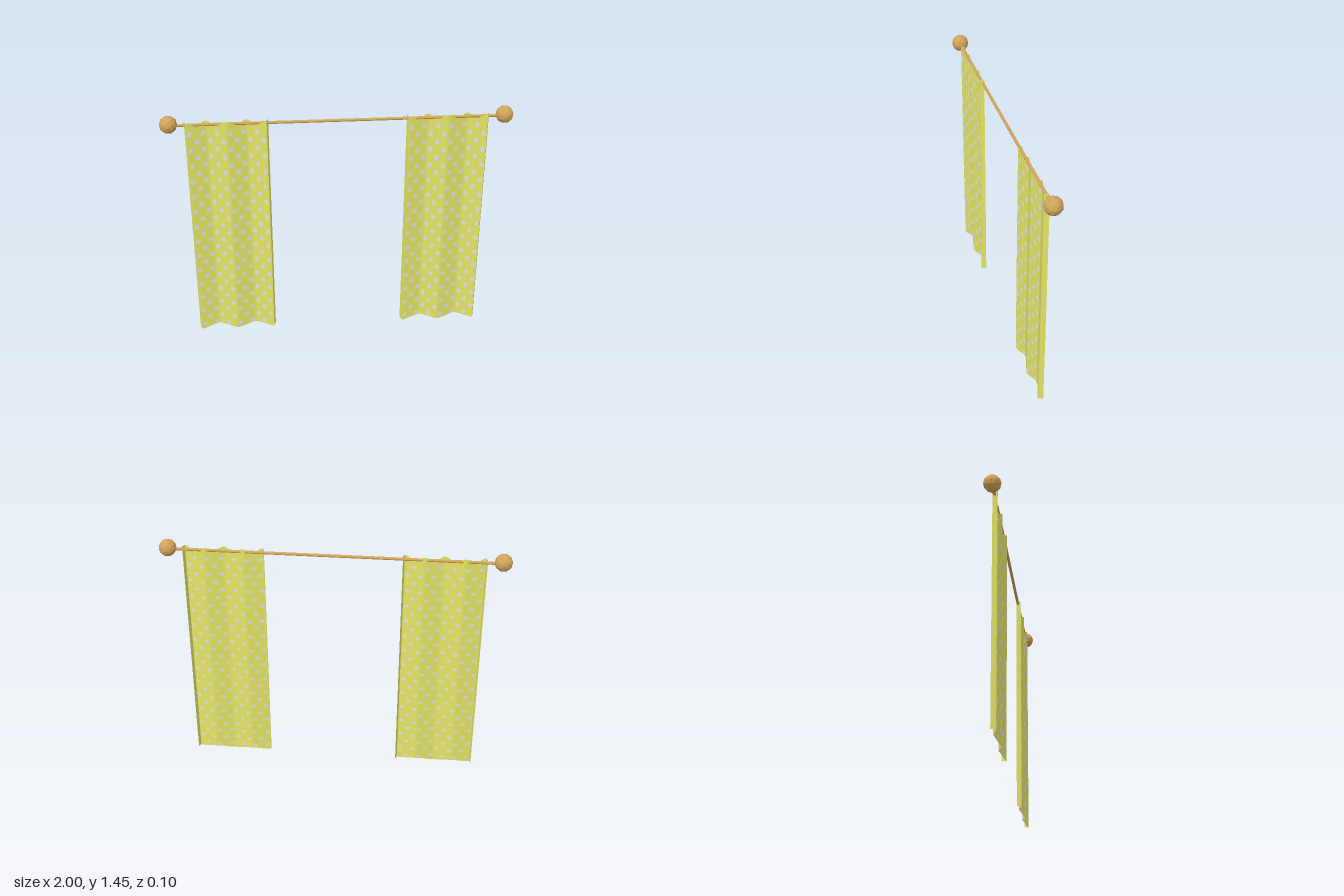
import * as THREE from 'three';
import { mergeGeometries } from 'three/addons/utils/BufferGeometryUtils.js';

const HALF = 0.226;      // half width of the pleated sheet
const RETURN = 0.235;    // half width including the turned-back edges
const COLUMNS = 12;      // dot columns per panel
const STEP = (HALF * 2) / COLUMNS;

// pleat depth and the wavy hems, u running -HALF..HALF
const phase = u => (u / HALF) * Math.PI * 2;
const pleat = u => 0.004 + 0.0122 *
  (Math.cos(phase(u)) + Math.cos(3 * phase(u)) / 9 + Math.cos(5 * phase(u)) / 25);
const topHem = u => 1.4 + 0.012 * Math.cos(2 * phase(u));
const bottomHem = u => 0.014 - 0.01 * Math.cos(phase(u));

function sheetGeometry() {
  const geo = new THREE.PlaneGeometry(HALF * 2, 1, 64, 1);
  const p = geo.attributes.position;
  for (let i = 0; i < p.count; i++) {
    const u = p.getX(i);
    p.setXYZ(i, u, p.getY(i) > 0 ? topHem(u) : bottomHem(u), pleat(u));
  }
  geo.computeVertexNormals();
  return geo;
}

// narrow edge folded back towards the wall
function returnGeometry(side) {
  const geo = new THREE.PlaneGeometry(1, 1);
  const p = geo.attributes.position;
  for (let i = 0; i < p.count; i++) {
    const outer = p.getX(i) * side > 0;
    p.setXYZ(i, side * (outer ? RETURN : HALF), p.getY(i) > 0 ? 1.412 : 0.01,
      outer ? -0.01 : pleat(HALF));
  }
  geo.computeVertexNormals();
  return geo;
}

// staggered dots lying on the pleats, on one face of the cloth
function dotsGeometry(face, height) {
  const dots = [];
  for (let col = 0; col < COLUMNS; col++) {
    const cx = (col + 0.5) * STEP - HALF;
    for (let row = 0; row < 14; row++) {
      const cy = 0.04 + row * 0.1 + (col % 2) * 0.05;
      if (cy > 1.37) continue;
      const dot = new THREE.RingGeometry(0, 1, 10, 3);
      const p = dot.attributes.position;
      for (let i = 0; i < p.count; i++) {
        const u = cx + p.getX(i) * 0.013;
        p.setXYZ(i, u, cy + p.getY(i) * height, pleat(u) + face * 0.001);
      }
      dot.computeVertexNormals();
      dots.push(dot);
    }
  }
  return mergeGeometries(dots);
}

export function createModel() {
  const cloth = new THREE.MeshStandardMaterial({ color: 0xe4e466, side: THREE.DoubleSide });
  cloth.name = 'yellow cloth';
  const dotGrey = new THREE.MeshStandardMaterial({ color: 0xe2e2e0, side: THREE.DoubleSide });
  dotGrey.name = 'pale grey dots';
  const wood = new THREE.MeshStandardMaterial({ color: 0xd0a45a, flatShading: true });
  wood.name = 'golden wood';

  const model = new THREE.Group();
  model.name = 'curtains';
  const add = (parent, name, geo, mat) => {
    const mesh = new THREE.Mesh(geo, mat);
    mesh.name = name;
    parent.add(mesh);
    return mesh;
  };

  // rod
  const rod = add(model, 'rod', new THREE.CylinderGeometry(0.009, 0.009, 1.84, 8), wood);
  rod.rotation.z = Math.PI / 2;
  rod.position.y = 1.393;

  const sheet = sheetGeometry();
  const frontDots = dotsGeometry(1, 0.017);
  const backDots = dotsGeometry(-1, 0.011);
  const ball = new THREE.IcosahedronGeometry(0.051, 1);

  for (const side of [-1, 1]) {
    const label = side > 0 ? 'left' : 'right';

    // faceted ball at the end of the rod
    const finial = add(model, label + 'Finial', ball, wood);
    finial.position.set(side * 0.949, 1.399, 0);

    // hanging panel
    const panel = new THREE.Group();
    panel.name = label + 'Curtain';
    panel.position.x = side * 0.627;
    add(panel, 'pleatedSheet', sheet, cloth);
    add(panel, 'outerEdge', returnGeometry(side), cloth);
    add(panel, 'innerEdge', returnGeometry(-side), cloth);
    add(panel, 'frontDots', frontDots, dotGrey);
    add(panel, 'backDots', backDots, dotGrey);
    model.add(panel);
  }
  return model;
}
